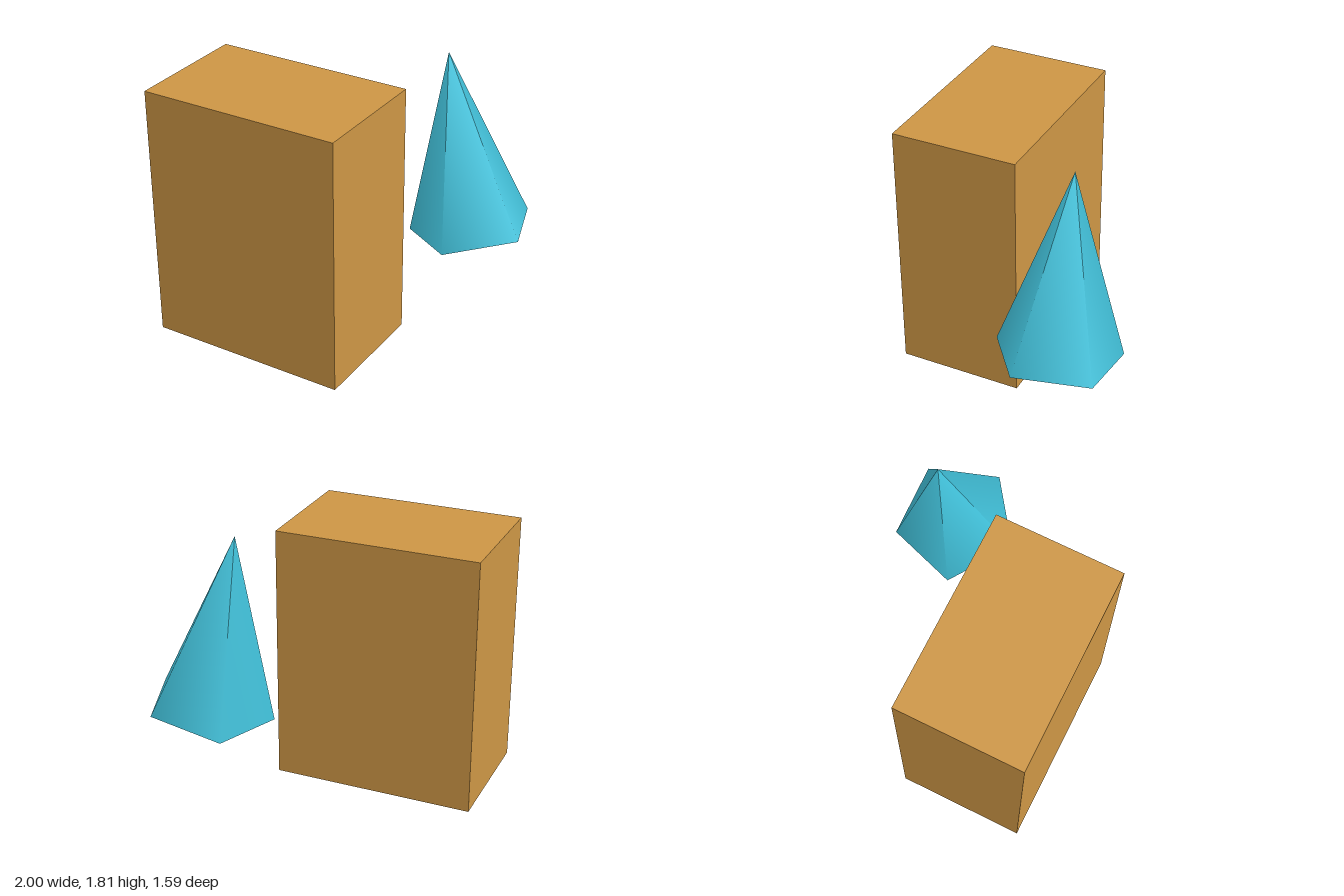
import * as THREE from 'three';

export function createModel() {
  const model = new THREE.Group();

  const addPart = (name, geometry, color, position) => {
    const mesh = new THREE.Mesh(geometry, new THREE.MeshStandardMaterial({ color }));
    mesh.name = name;
    mesh.position.set(...position);
    model.add(mesh);
    return mesh;
  };

  // Upright block standing on the ground
  addPart('block', new THREE.BoxGeometry(1.333, 1.71, 0.838), 0xcd9645, [-0.333, 0.855, 0.378]);

  // Five-sided, smooth-shaded cone, raised and leaning 10 degrees toward the block
  const height = 1.208;
  const lean = THREE.MathUtils.degToRad(10);
  const cone = new THREE.ConeGeometry(0.416, height, 5);
  cone.translate(0, height / 2, 0); // pivot at the base centre
  addPart('leaningCone', cone, 0x42c3dc, [0.61, 0.622, -0.461]).rotation.z = lean;

  return model;
}
